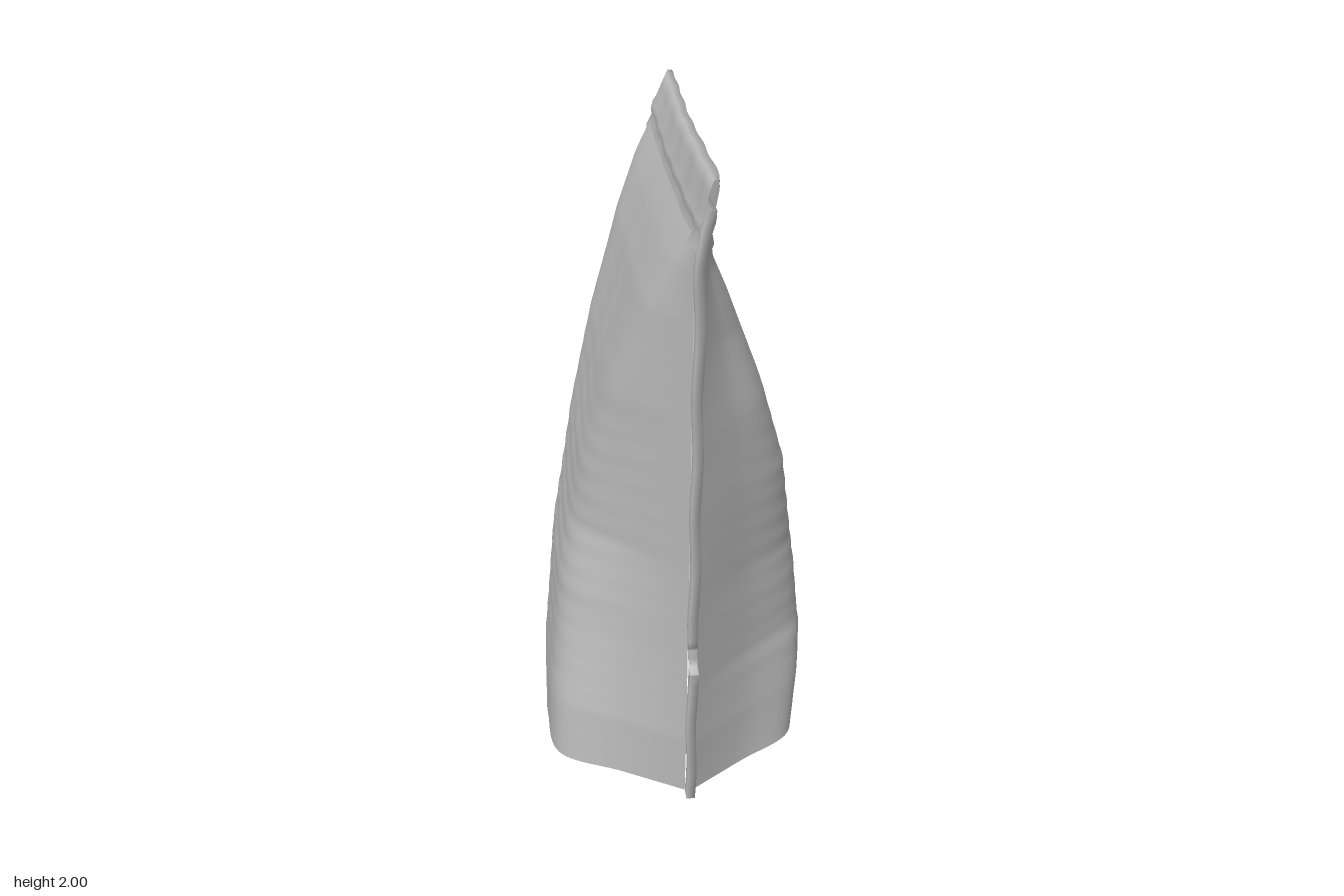
import * as THREE from 'three';

// Piecewise-linear lookup in [position, value] pairs
function lookup(table, y) {
  let i = 1;
  while (i < table.length - 1 && y > table[i][0]) i++;
  const [a, va] = table[i - 1], [b, vb] = table[i];
  return THREE.MathUtils.lerp(va, vb, THREE.MathUtils.clamp((y - a) / (b - a), 0, 1));
}

const frontEdge = [[0, 0.58], [0.2, 0.61], [0.5, 0.635], [1, 0.675], [1.5, 0.715], [2, 0.75]];
const backEdge = [[0, -0.43], [0.2, -0.47], [0.5, -0.52], [1, -0.605], [1.5, -0.675], [2, -0.75]];

// Per wall: bulge in x, and z of the creases between the panel and its gussets
const leftWall = {
  side: 1,
  bulge: [[0, 0.385], [0.2, 0.41], [0.35, 0.415], [0.6, 0.385], [1, 0.32], [1.3, 0.225], [1.6, 0.11], [1.72, 0.06], [1.84, 0.03]],
  frontCrease: [[0, 0.27], [0.4, 0.20], [0.7, 0.24], [1, 0.33], [1.25, 0.42], [1.5, 0.48], [1.84, 0.62]],
  backCrease: [[0, -0.19], [0.5, -0.18], [1, -0.29], [1.3, -0.40], [1.5, -0.46], [1.84, -0.62]],
  backPuff: 0.03,
};
const rightWall = {
  side: -1,
  bulge: [[0, 0.42], [0.2, 0.415], [0.35, 0.40], [0.6, 0.375], [1, 0.30], [1.3, 0.225], [1.6, 0.13], [1.72, 0.08], [1.84, 0.03]],
  frontCrease: [[0, 0.30], [0.2, 0.29], [0.5, 0.25], [0.8, 0.23], [1, 0.28], [1.2, 0.35], [1.5, 0.47], [1.84, 0.62]],
  backCrease: [[0, -0.25], [0.36, -0.26], [0.8, -0.31], [1.24, -0.40], [1.5, -0.47], [1.84, -0.62]],
  backPuff: 0,
};

// The top of the pouch leans to the left, and the back edge starts leaning lower down
const lean = (y, z) => Math.max(0, (y - 1.74) / 0.26) ** 1.4 * (0.045 - 0.012 * z)
  + Math.max(0, -z / 0.75) * Math.max(0, y - 1.2) * 0.03;
const FIN = 0.045;
const THICK = 0.013;

// Quad grid from a point function of u and v
function grid(nu, nv, point, flip = false) {
  const position = [], index = [];
  for (let j = 0; j <= nv; j++) {
    for (let i = 0; i <= nu; i++) position.push(...point(i / nu, j / nv));
  }
  for (let j = 0; j < nv; j++) {
    for (let i = 0; i < nu; i++) {
      const a = j * (nu + 1) + i, b = a + 1, c = a + nu + 1, d = c + 1;
      if (flip) index.push(a, c, b, b, c, d);
      else index.push(a, b, c, b, d, c);
    }
  }
  const geometry = new THREE.BufferGeometry();
  geometry.setAttribute('position', new THREE.Float32BufferAttribute(position, 3));
  geometry.setIndex(index);
  geometry.computeVertexNormals();
  return geometry;
}

// One bulging wall: slanted gusset, panel, slanted gusset
function wallGeometry({ side, bulge, frontCrease, backCrease, backPuff }) {
  const nv = 110;
  const rows = [];
  for (let j = 0; j <= nv; j++) {
    const y = 1.84 * j / nv;
    const x = lookup(bulge, y);
    const zf = lookup(frontEdge, y) - FIN, zb = lookup(backEdge, y) + FIN;
    const cf = lookup(frontCrease, y), cb = lookup(backCrease, y);
    const xc = Math.max(THICK, x * 0.93), xg = (xc + THICK) / 2;
    const puff = backPuff * THREE.MathUtils.smoothstep(y, 0.1, 0.7);
    const outline = [
      [THICK, zf], [xg, (zf + cf) / 2], [xc, cf],
      [x, cf * 0.6 + cb * 0.4], [x, cf * 0.4 + cb * 0.6],
      [xc, cb], [xg, (zb + cb) / 2 - puff], [THICK, zb],
    ].map(([px, pz]) => new THREE.Vector3(px, y, pz));
    rows.push(new THREE.CatmullRomCurve3(outline, false, 'centripetal'));
  }
  return grid(48, nv, (u, v) => {
    const p = rows[Math.round(v * nv)].getPoint(u);
    // Shallow horizontal wrinkles, strongest low on the wall
    const fade = Math.sin(Math.PI * u) ** 2 * Math.max(0, 1 - Math.abs(p.y - 0.75) / 0.75);
    const wrinkle = 0.002 * fade * Math.sin(p.y * 75 + 2 * Math.sin(p.z * 7));
    return [side * (p.x + wrinkle) + lean(p.y, p.z), p.y, p.z];
  }, side < 0);
}

// Narrow sealed edge; the front one carries a tear notch
function finGeometry(dir) {
  const table = dir > 0 ? frontEdge : backEdge;
  const ys = [];
  for (let i = 0; i <= 48; i++) ys.push(i * 0.04);
  if (dir > 0) ys.push(0.485, 0.49, 0.55, 0.58);
  ys.sort((a, b) => a - b);
  return grid(3, ys.length - 1, (u, v) => {
    const y = ys[Math.round(v * (ys.length - 1))];
    const column = Math.round(u * 3);
    const edge = lookup(table, y);
    const notch = dir > 0 && y > 0.487 && y < 0.57 ? 0.035 : 0;
    const z = column === 0 || column === 3 ? edge - dir * FIN : edge - dir * notch;
    const x = (column < 2 ? 1 : -1) * THICK + 0.003 * Math.sin(y * 17);
    return [x + lean(y, z), y, z];
  }, dir > 0);
}

// Flat closure band with a raised ridge
function sealGeometry() {
  const half = [[0.033, 1.815], [0.022, 1.85], [0.029, 1.87], [0.029, 1.89], [0.02, 1.91], [0.02, 1.97], [0.012, 2]];
  const loop = [...half, ...half.map(([x, y]) => [-x, y]).reverse()];
  return grid(60, loop.length - 1, (u, v) => {
    const [x, y] = loop[Math.round(v * (loop.length - 1))];
    const z = THREE.MathUtils.lerp(lookup(frontEdge, y), lookup(backEdge, y), u);
    const ends = Math.min(1, 25 * Math.min(u, 1 - u));
    const sag = y > 1.95 ? 0.022 * u : 0;
    return [x * (0.6 + 0.4 * ends) + lean(y, z) + 0.002 * Math.sin(z * 23), y - sag, z];
  });
}

export function createModel() {
  const foil = new THREE.MeshStandardMaterial({ color: 0xc0c0c0, side: THREE.DoubleSide });
  foil.name = 'grey foil';
  const group = new THREE.Group();
  group.name = 'pouch';
  const parts = {
    leftWall: wallGeometry(leftWall),
    rightWall: wallGeometry(rightWall),
    frontSeam: finGeometry(1),
    backSeam: finGeometry(-1),
    topSeal: sealGeometry(),
  };
  for (const [name, geometry] of Object.entries(parts)) {
    const mesh = new THREE.Mesh(geometry, foil);
    mesh.name = name;
    group.add(mesh);
  }
  return group;
}
